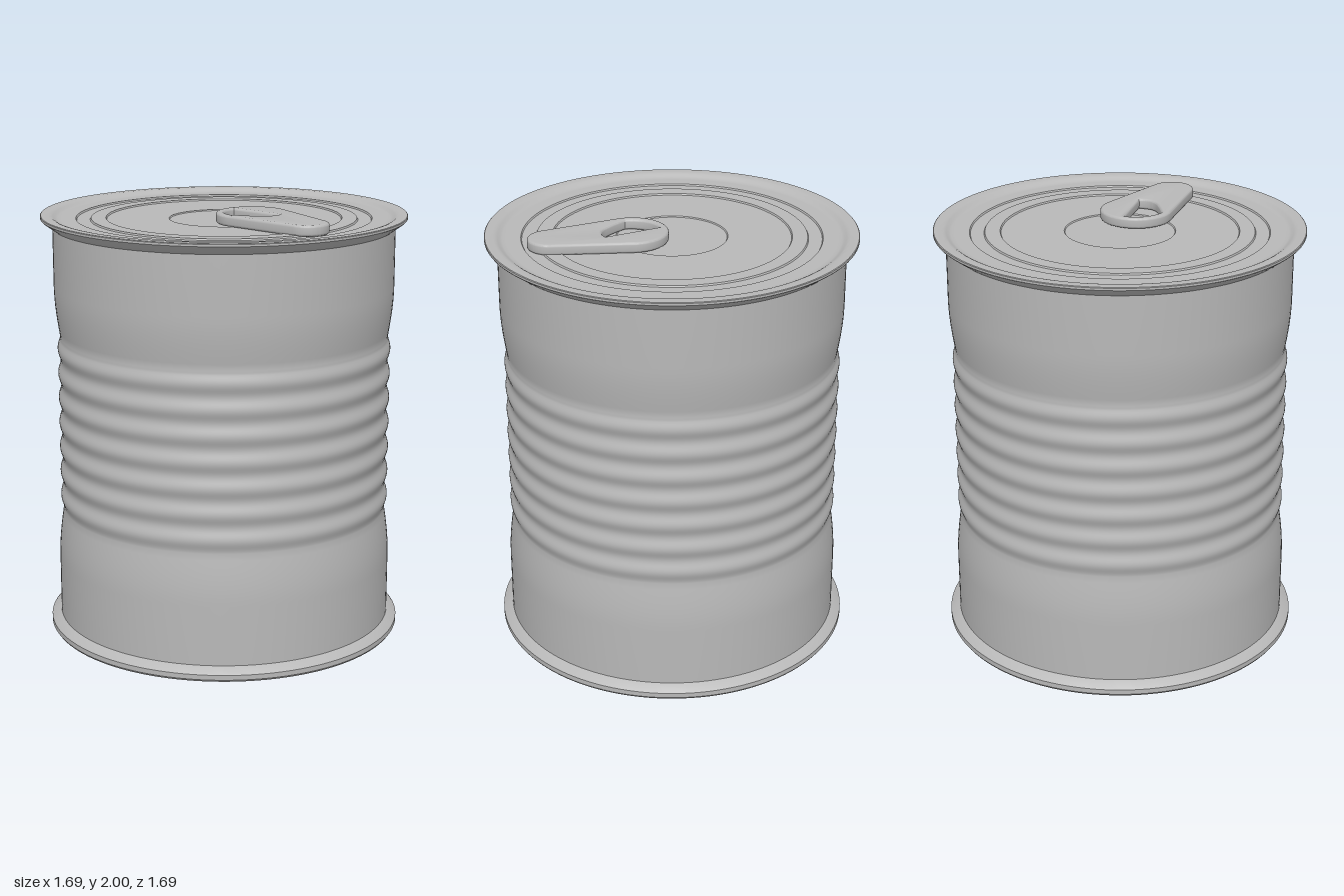
import * as THREE from 'three';
import { toCreasedNormals } from 'three/addons/utils/BufferGeometryUtils.js';

const SEGMENTS = 128;

export function createModel() {
  const can = new THREE.Group();
  can.name = 'tinCan';
  const metal = new THREE.MeshStandardMaterial({ color: 0xb8b8b8 });
  metal.name = 'tin grey';

  const add = (name, geometry, crease = 0.45) => {
    const mesh = new THREE.Mesh(toCreasedNormals(geometry, crease), metal);
    mesh.name = name;
    can.add(mesh);
  };
  // Profiles are [radius, height] pairs, running up the outside and in over the top
  const lathe = (name, profile) =>
    add(name, new THREE.LatheGeometry(profile.map(([r, y]) => new THREE.Vector2(r, y)), SEGMENTS));

  // Flat base with its flared seam
  lathe('base', [[0, 0], [0.828, 0], [0.835, 0.01], [0.835, 0.033], [0.828, 0.04], [0.79, 0.06]]);

  // Body: straight ends easing into seven shallow ribs
  const ribLow = 0.58, ribHigh = 1.41, ribs = 7, steps = 12;
  const ease = (t) => 0.766 + 0.024 * Math.sin((t * Math.PI) / 2);
  const body = [[0.79, 0.06], [0.79, 0.34]];
  for (let i = 1; i < 8; i++) body.push([ease(1 - i / 8), 0.34 + (i / 8) * (ribLow - 0.34)]);
  for (let i = 0; i <= ribs * steps; i++) {
    const swell = (1 - Math.cos((i / steps) * Math.PI * 2)) / 2;
    body.push([0.766 + 0.013 * swell, ribLow + (i / (ribs * steps)) * (ribHigh - ribLow)]);
  }
  for (let i = 1; i <= 8; i++) body.push([ease(i / 8), ribHigh + (i / 8) * 0.24]);
  body.push([0.79, 1.92]);
  lathe('body', body);

  // Overhanging top rim, sloping softly down to the lid
  lathe('topRim', [
    [0.79, 1.92], [0.842, 1.958], [0.845, 1.962], [0.845, 1.972], [0.842, 1.975],
    [0.805, 1.975], [0.795, 1.973], [0.785, 1.968], [0.775, 1.961], [0.765, 1.957], [0.75, 1.956],
  ]);

  // Lid with pressed concentric steps
  lathe('lid', [
    [0.75, 1.956], [0.681, 1.956], [0.677, 1.949], [0.616, 1.949], [0.612, 1.956],
    [0.543, 1.956], [0.539, 1.949], [0.253, 1.949], [0.249, 1.944], [0, 1.944],
  ]);

  // Pull tab: tapered outline around two arcs, with a finger opening
  const wide = 0.166, narrow = 0.1, x0 = 0.19, x1 = 0.565, cy = 0.015;
  const a = Math.acos((wide - narrow) / (x1 - x0));
  const outline = new THREE.Shape();
  outline.absarc(x0, cy, wide, a, Math.PI * 2 - a, false);
  outline.absarc(x1, cy, narrow, -a, a, false);
  const opening = new THREE.Path();
  opening.moveTo(0.06, 0.01);
  opening.lineTo(0.32, 0.066);
  opening.quadraticCurveTo(0.345, 0.01, 0.3, -0.035);
  opening.quadraticCurveTo(0.25, -0.08, 0.19, -0.115);
  opening.bezierCurveTo(0.12, -0.11, 0.06, -0.06, 0.06, 0.01);
  outline.holes.push(opening);
  const bevel = 0.012;
  const tab = new THREE.ExtrudeGeometry(outline, {
    depth: 0.026, bevelEnabled: true, bevelThickness: bevel, bevelSize: bevel,
    bevelOffset: -bevel, bevelSegments: 4, curveSegments: 32,
  });
  tab.rotateX(-Math.PI / 2).translate(0, 2 - 0.026 - bevel, 0);
  add('pullTab', tab, 0.6);

  return can;
}
